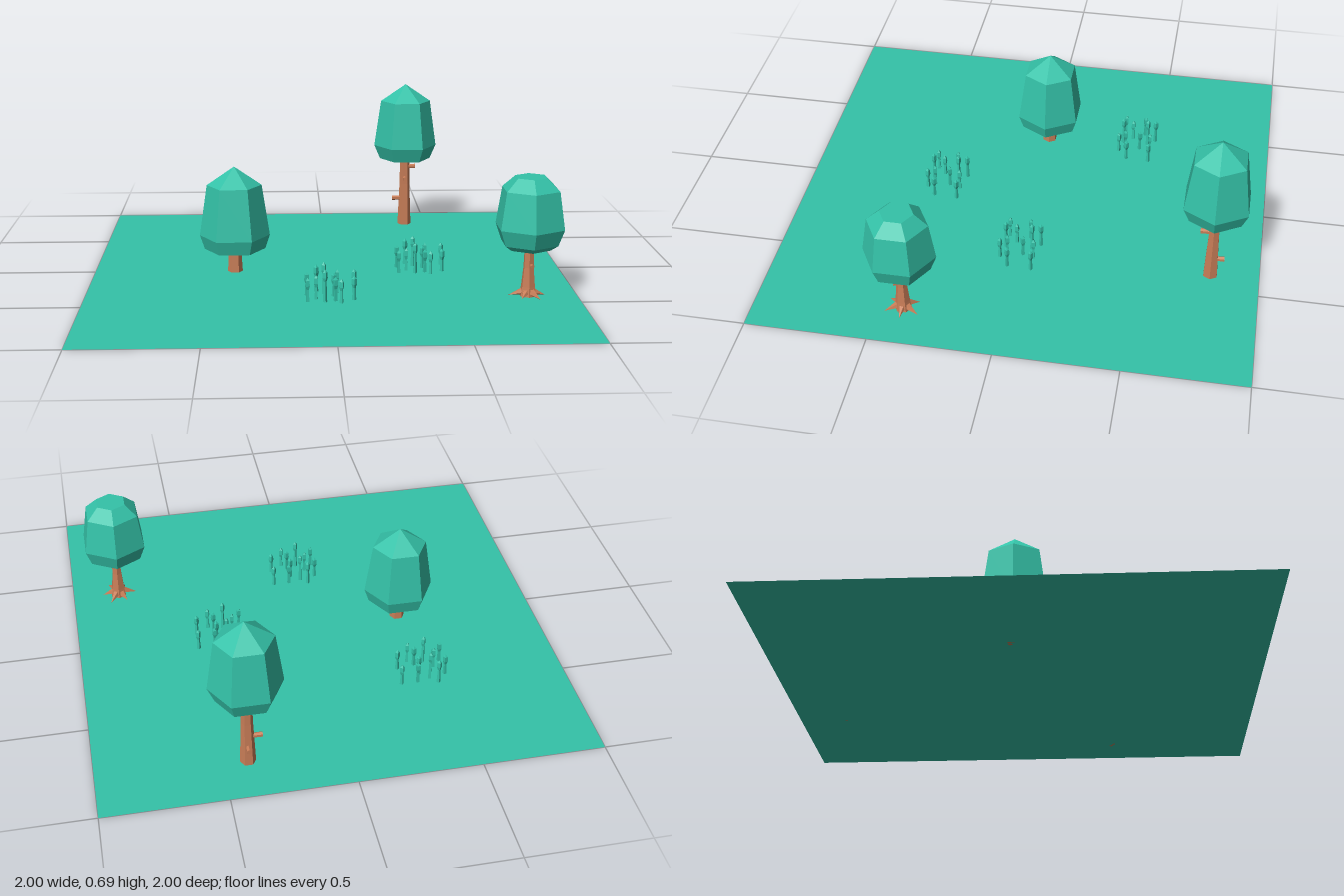
import * as THREE from 'three';

const mat = (color) => {
  const m = new THREE.MeshStandardMaterial({ color, flatShading: true });
  return m;
};
const leaf = mat(0x34c2a8);
const bark = mat(0xc87d57);
const grassMat = leaf.clone();
grassMat.side = THREE.DoubleSide;

function mesh(name, geometry, material) {
  const m = new THREE.Mesh(geometry, material);
  m.name = name;
  return m;
}

// Faceted solid of revolution; turn rotates its corners about y
function faceted(name, profile, sides, turn, material) {
  const pts = profile.map(([r, y]) => new THREE.Vector2(r, y));
  return mesh(name, new THREE.LatheGeometry(pts, sides).rotateY(turn), material);
}

// Short sawn-off branch pointing out from the trunk at a given heading (0 = +z)
function branch(heading, y, length, r) {
  const g = new THREE.CylinderGeometry(r, r * 0.85, length, 6);
  g.rotateX(Math.PI / 2).translate(0, y, length / 2).rotateY(heading);
  return mesh('branch', g, bark);
}

// Root: a cone lying outwards from the trunk foot, its underside flat on the ground
function root(heading, length) {
  const g = new THREE.ConeGeometry(0.022, length, 5);
  g.rotateX(Math.PI / 2).translate(0, 0.014, length / 2);
  const p = g.attributes.position;
  for (let i = 0; i < p.count; i++) {
    const t = p.getZ(i) / length;
    p.setY(i, Math.max(0, p.getY(i) * (1 - 0.8 * t) + 0.012 * (1 - t)));
  }
  g.rotateY(heading);
  return mesh('root', g, bark);
}

function tree(name, x, z, turn, trunkProfile, crownProfile) {
  const g = new THREE.Group();
  g.name = name;
  g.position.set(x, 0, z);
  g.add(faceted('trunk', trunkProfile, 6, turn, bark));
  g.add(faceted('crown', crownProfile, 6, turn, leaf));
  return g;
}

// Positions and heights of the reeds within one clump
const REEDS = [
  [-0.06, -0.083, 0.115], [0.025, -0.065, 0.1], [0.095, -0.065, 0.1],
  [-0.1, -0.033, 0.1], [-0.03, -0.05, 0.135], [0.01, -0.018, 0.1],
  [-0.063, 0.02, 0.1], [0.09, 0.035, 0.1], [-0.098, 0.055, 0.1],
  [-0.028, 0.06, 0.135], [0.015, 0.047, 0.1], [0.037, 0.075, 0.1],
];

function reedClump(x, z) {
  const g = new THREE.Group();
  g.name = 'reedClump';
  g.position.set(x, 0, z);
  REEDS.forEach(([rx, rz, h], i) => {
    const profile = [
      [0.009, 0], [0.006, h - 0.05], [0.011, h - 0.035], [0.01, h - 0.012], [0, h],
    ];
    const reed = faceted('reed', profile, 4, i * 0.9, grassMat);
    reed.position.set(rx, 0, rz);
    g.add(reed);
  });
  return g;
}

export function createModel() {
  const model = new THREE.Group();
  model.name = 'forestClearing';

  // Ground sheet
  const ground = mesh('ground', new THREE.PlaneGeometry(2, 2).rotateX(-Math.PI / 2), grassMat);
  model.add(ground);

  // Low tree with a pointed crown
  model.add(tree('lowTree', -0.4, 0, Math.PI / 2,
    [[0, 0], [0.032, 0], [0.026, 0.1], [0.024, 0.14]],
    [[0, 0.1], [0.13, 0.1], [0.15, 0.16], [0.117, 0.38], [0, 0.46]]));

  // Tall tree with sawn branches
  const tall = tree('tallTree', 0.4, -0.8, Math.PI / 2,
    [[0, 0], [0.032, 0], [0.024, 0.2], [0.022, 0.36]],
    [[0, 0.325], [0.12, 0.325], [0.148, 0.39], [0.117, 0.605], [0, 0.685]]);
  tall.add(
    branch(Math.PI / 2, 0.285, 0.05, 0.011),
    branch(-Math.PI / 2, 0.128, 0.06, 0.011),
    branch(0, 0.23, 0.055, 0.012),
    branch(Math.PI, 0.09, 0.052, 0.011));
  model.add(tall);

  // Round tree with spreading roots
  const round = tree('roundTree', 0.8, 0.4, 0,
    [[0, 0], [0.036, 0], [0.03, 0.04], [0.022, 0.12], [0.018, 0.24]],
    [[0, 0.2], [0.09, 0.2], [0.122, 0.222], [0.148, 0.29], [0.123, 0.445], [0.068, 0.495], [0, 0.495]]);
  for (let i = 0; i < 6; i++) round.add(root((i + 0.5) * Math.PI / 3, i % 2 ? 0.07 : 0.08));
  round.add(branch(0.35, 0.13, 0.034, 0.008));
  model.add(round);

  // Reed clumps
  for (const [x, z] of [[-0.4, -0.4], [0.4, 0], [0, 0.4]]) model.add(reedClump(x, z));

  return model;
}
